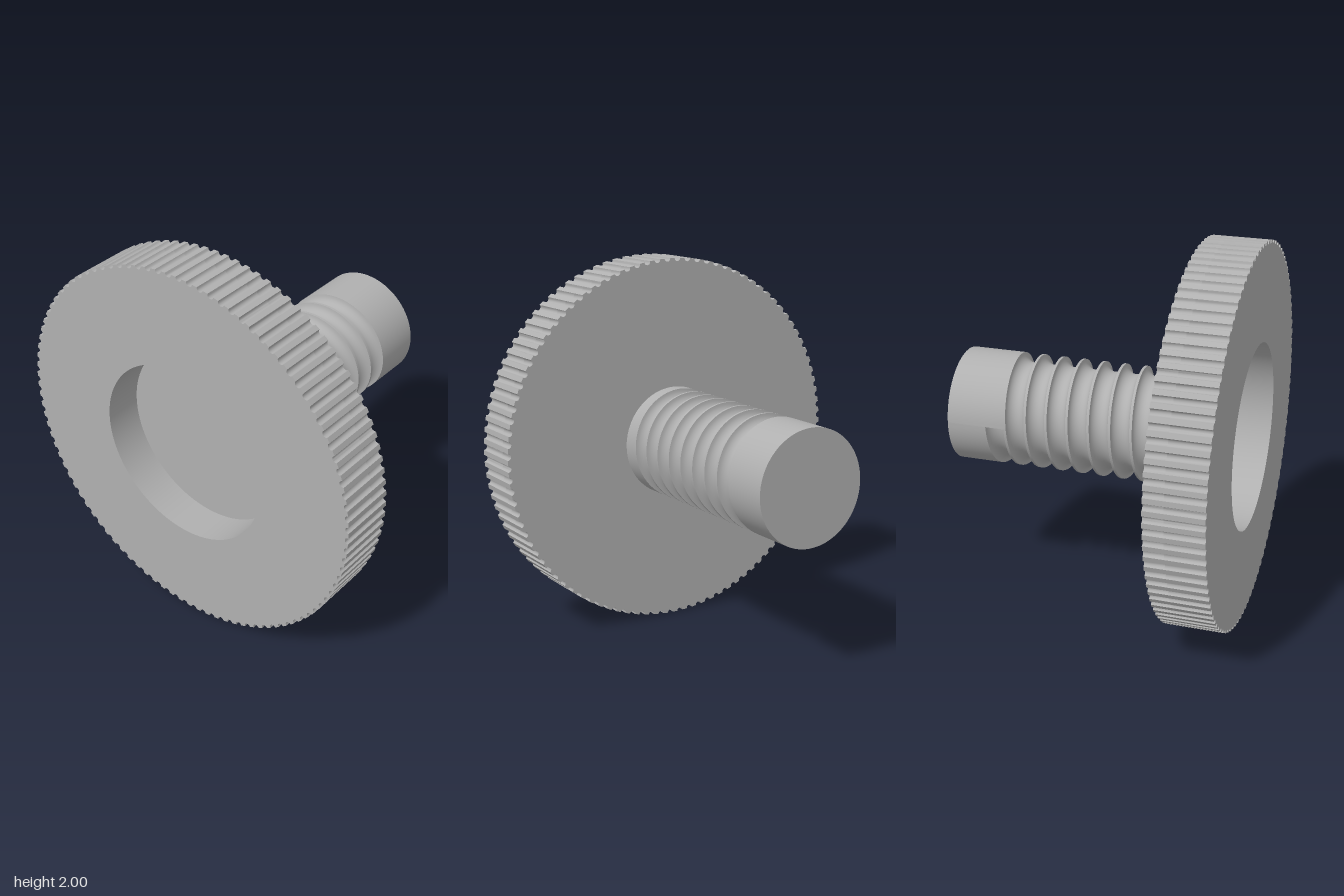
import * as THREE from 'three';
import { toCreasedNormals } from 'three/addons/utils/BufferGeometryUtils.js';

const STEEL = new THREE.MeshStandardMaterial({ color: 0xb0b0b0 });
STEEL.name = 'grey steel';

const R = 0.3;            // shaft radius
const PITCH = 0.1133;     // groove advance per turn
const TURNS = 8;
const GROOVE = 0.05;      // groove radius
const FRONT = 0.48, BACK = -0.78;
const grooveZ = t => 0.387 - PITCH * t;

function add(parent, name, geometry) {
  const mesh = new THREE.Mesh(geometry, STEEL);
  mesh.name = name;
  parent.add(mesh);
  return mesh;
}

// Sweeps a profile of [z, radius] points round the shaft; turns start at -x and pass over the top
function sweep(profile, t0, t1) {
  const steps = Math.round((t1 - t0) * 80), pos = [], idx = [];
  const n = profile(t0).length;
  for (let i = 0; i <= steps; i++) {
    const t = t0 + (t1 - t0) * i / steps, a = Math.PI - t * Math.PI * 2;
    for (const [z, r] of profile(t)) pos.push(Math.cos(a) * r, Math.sin(a) * r, z);
  }
  for (let i = 0; i < steps; i++) {
    for (let j = 0; j < n - 1; j++) {
      const a = i * n + j, b = a + 1, c = a + n, d = c + 1;
      idx.push(a, c, b, b, c, d);
    }
  }
  const g = new THREE.BufferGeometry();
  g.setAttribute('position', new THREE.Float32BufferAttribute(pos, 3));
  g.setIndex(idx);
  g.computeVertexNormals();
  return g;
}

// Round outline with evenly spaced scooped notches
function knurledOutline() {
  const count = 100, notch = 0.018, pts = [];
  for (let i = 0; i < count; i++) {
    const a = (i + 0.5) / count * Math.PI * 2;
    for (let k = 0; k <= 6; k++) {
      const b = a - Math.PI / 2 - k / 6 * Math.PI;
      pts.push(new THREE.Vector2(
        Math.cos(a) + notch * Math.cos(b),
        Math.sin(a) + notch * Math.sin(b)));
    }
  }
  return new THREE.Shape(pts);
}

function knurledDisc(z, depth, holeRadius) {
  const shape = knurledOutline();
  if (holeRadius) shape.holes.push(new THREE.Path().absarc(0, 0, holeRadius, 0, Math.PI * 2, true));
  const g = new THREE.ExtrudeGeometry(shape, { depth, bevelEnabled: false, curveSegments: 96 });
  g.translate(0, 0, z);
  return toCreasedNormals(g, 0.6);
}

export function createModel() {
  const model = new THREE.Group();
  model.name = 'knurledThumbScrew';
  const body = new THREE.Group();
  body.name = 'screwBody';
  body.position.y = 1;
  model.add(body);

  // Head: solid back disc and a front ring round the recess
  const head = new THREE.Group();
  head.name = 'head';
  body.add(head);
  add(head, 'headBack', knurledDisc(FRONT, 0.1, 0));
  add(head, 'headRecessRing', knurledDisc(FRONT + 0.1, 0.2, 0.485));

  const shaft = new THREE.Group();
  shaft.name = 'shaft';
  body.add(shaft);

  // Plain ends, trimmed along the helix
  add(shaft, 'shaftCollar', sweep(t => [[FRONT, R], [grooveZ(t) + PITCH / 2, R]], 0, 1));
  add(shaft, 'shaftTip', sweep(t => [[grooveZ(t) - PITCH / 2, R], [BACK, R]], TURNS - 1, TURNS));

  // Thread lands on both sides of the groove
  add(shaft, 'threadLandFront',
    sweep(t => [[grooveZ(t) + PITCH / 2, R], [grooveZ(t) + GROOVE, R]], 0, TURNS));
  add(shaft, 'threadLandBack',
    sweep(t => [[grooveZ(t) - GROOVE, R], [grooveZ(t) - PITCH / 2, R]], 0, TURNS));

  // Rounded helical groove
  const arc = Array.from({ length: 13 }, (_, k) => k / 12 * Math.PI);
  add(shaft, 'threadGroove', sweep(t => arc.map(a =>
    [grooveZ(t) + GROOVE * Math.cos(a), R - GROOVE * Math.sin(a)]), 0, TURNS));

  // Half-round walls closing the groove at both ends
  for (const [name, t, turn] of [['grooveStartWall', 0, Math.PI / 2], ['grooveEndWall', TURNS, -Math.PI / 2]]) {
    const start = t === 0;
    const wall = add(shaft, name,
      new THREE.CircleGeometry(GROOVE, 16, start ? -Math.PI / 2 : Math.PI / 2, Math.PI));
    // Lies in the horizontal plane, facing along the groove
    wall.rotation.x = -turn;
    if (!start) wall.rotation.y = Math.PI;
    wall.position.set(-R, 0, grooveZ(t));
  }
  // Both walls must bulge towards the shaft axis
  const end = shaft.getObjectByName('grooveEndWall');
  end.rotation.set(Math.PI / 2, 0, 0);
  end.geometry = new THREE.CircleGeometry(GROOVE, 16, -Math.PI / 2, Math.PI);

  const tip = add(shaft, 'shaftEndFace', new THREE.CircleGeometry(R, 80));
  tip.rotation.y = Math.PI;
  tip.position.z = BACK;
  return model;
}
